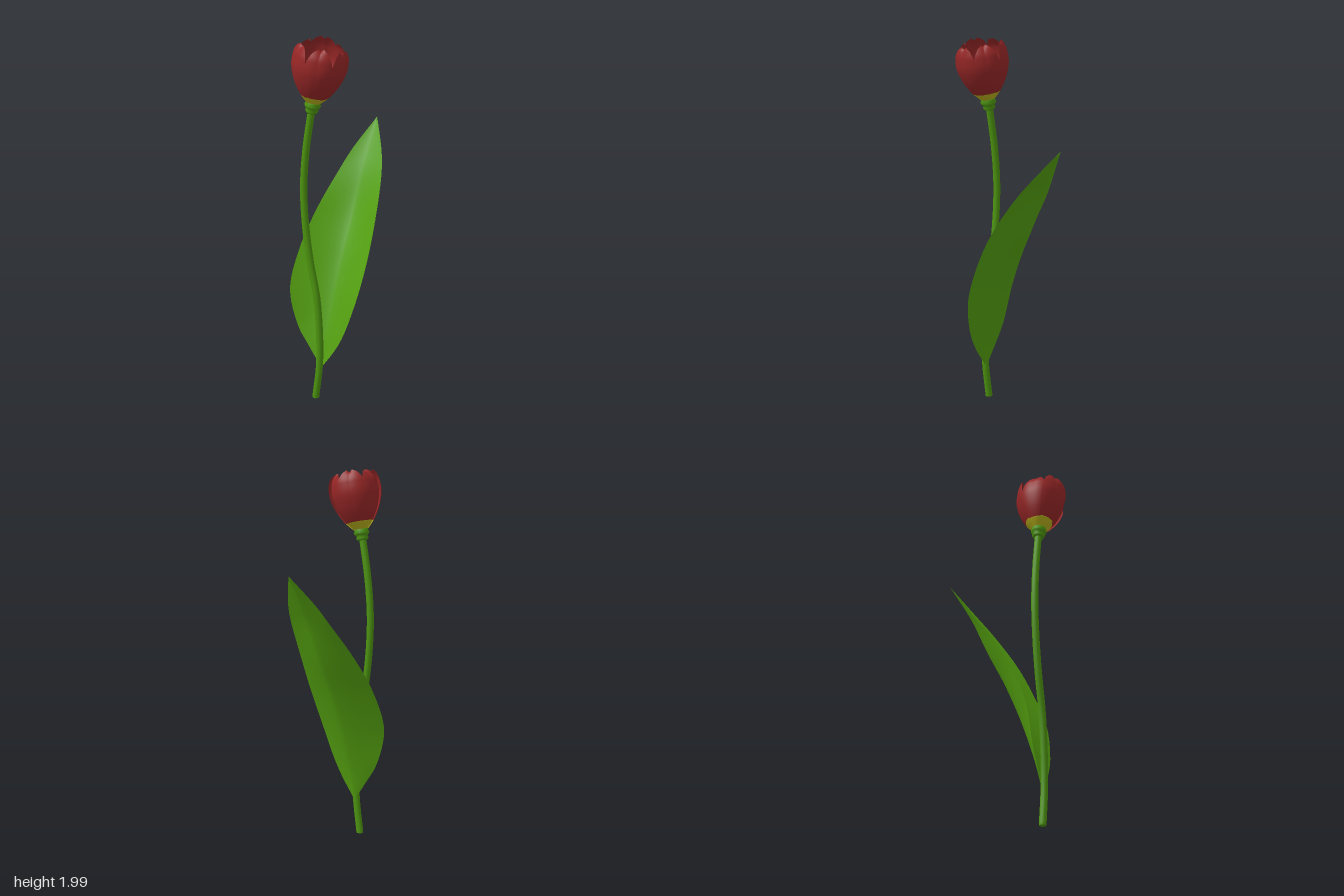
import * as THREE from 'three';
import { ParametricGeometry } from 'three/addons/geometries/ParametricGeometry.js';

const mat = (color) => new THREE.MeshStandardMaterial({ color, side: THREE.DoubleSide });
const green = mat(0x4c930f), leafGreen = mat(0x54a010), limeGreen = mat(0x86a814);
const red = mat(0x962626), yellow = mat(0xb8b01c), gold = mat(0xc8961e), grey = mat(0x9aa4b6);

function part(parent, name, geometry, material) {
  const mesh = new THREE.Mesh(geometry, material);
  mesh.name = name;
  parent.add(mesh);
  return mesh;
}

const spline = (pts) => new THREE.CatmullRomCurve3(pts.map((p) => new THREE.Vector3(...p)));

// Stem: a gentle S in the plane z = 0.215
function addStem(group) {
  const z = 0.215;
  const path = spline([
    [-0.03, 0.005, z], [-0.005, 0.2, z], [-0.003, 0.38, z], [-0.02, 0.6, z], [-0.06, 0.8, z],
    [-0.087, 1.0, z], [-0.096, 1.2, z], [-0.08, 1.4, z], [-0.038, 1.65, z],
  ]);
  part(group, 'stem', new THREE.TubeGeometry(path, 60, 0.019, 14), green);
  const cap = part(group, 'stemEnd', new THREE.CylinderGeometry(0.019, 0.019, 0.01, 14), green);
  cap.position.set(-0.03, 0.005, z);
}

// Leaf: a cupped blade swept between a keel and two edges
function addLeaf(group) {
  const rows = [ // y, left edge x z, keel z, right edge x z
    [0.2, -0.012, 0.205, 0.2, 0.012, 0.205],
    [0.3, -0.08, 0.21, 0.178, 0.08, 0.2],
    [0.4, -0.142, 0.215, 0.15, 0.13, 0.19],
    [0.6, -0.2, 0.205, 0.08, 0.185, 0.15],
    [0.8, -0.195, 0.125, -0.005, 0.201, 0.07],
    [1.0, -0.165, 0.0, -0.105, 0.188, -0.03],
    [1.2, -0.112, -0.15, -0.195, 0.143, -0.16],
    [1.3, -0.077, -0.22, -0.25, 0.1, -0.232],
    [1.46, 0, -0.345, -0.345, 0, -0.345],
  ];
  const edgeA = spline(rows.map((r) => [r[1], r[0], r[2]]));
  const keel = spline(rows.map((r) => [0, r[0], r[3]]));
  const edgeB = spline(rows.map((r) => [r[4], r[0], r[5]]));
  const a = new THREE.Vector3(), k = new THREE.Vector3();
  const blade = new ParametricGeometry((u, v, out) => {
    const s = u * 2 - 1, t = Math.abs(s);
    (s < 0 ? edgeA : edgeB).getPoint(v, a);
    keel.getPoint(v, k);
    out.lerpVectors(k, a, t);
    out.z = k.z + (a.z - k.z) * Math.pow(t, 1.4);
  }, 24, 48);
  part(group, 'leaf', blade, leafGreen);
}

// Petal strip from v0 to v1 along its length, wrapped around the flower axis
const petalProfile = spline([ // radius, height, half angle
  [0.032, 0.025, 0.56], [0.075, 0.075, 0.6], [0.112, 0.14, 0.62], [0.134, 0.21, 0.62],
  [0.134, 0.275, 0.54], [0.122, 0.318, 0.4], [0.106, 0.342, 0.14],
]);
function petalGeometry(v0, v1, size, curl) {
  const p = new THREE.Vector3();
  return new ParametricGeometry((u, v, out) => {
    const s = u * 2 - 1, t = v0 + (v1 - v0) * v;
    petalProfile.getPoint(t, p);
    const angle = s * p.z;
    // shallow centre crease, tip leaning inward
    const r = p.x * size - curl * t ** 4 - 0.006 * t * (1 - Math.abs(s)) ** 2 + 0.004 * t;
    const y = p.y - 0.012 * t ** 6 * (1 - Math.abs(s));
    out.set(r * Math.cos(angle), y, r * Math.sin(angle));
  }, 14, 18);
}

function addFlower(group) {
  const flower = new THREE.Group();
  flower.name = 'flower';
  flower.position.set(-0.038, 1.64, 0.215);
  flower.rotation.z = -0.2;
  group.add(flower);

  // Ringed green base under the petals
  const base = [[0.0, -0.03], [0.028, -0.026], [0.034, -0.014], [0.028, -0.004], [0.038, 0.004],
    [0.043, 0.016], [0.036, 0.026], [0.04, 0.032], [0.03, 0.042], [0, 0.044]];
  part(flower, 'receptacle', new THREE.LatheGeometry(base.map((p) => new THREE.Vector2(...p)), 20), green);

  // Three outer and three inner petals, yellow at the foot
  for (let i = 0; i < 6; i++) {
    const inner = i % 2 === 1;
    const size = inner ? 0.93 : 1.02, curl = inner ? 0.02 : 0;
    const petal = new THREE.Group();
    petal.name = inner ? 'innerPetal' : 'outerPetal';
    petal.rotation.y = -i * Math.PI / 3;
    part(petal, 'petalFoot', petalGeometry(0, 0.16, size, curl), yellow);
    part(petal, 'petalBlade', petalGeometry(0.16, 1, size, curl), red);
    flower.add(petal);
  }

  // Lime cup lining the bottom of the bloom
  const cup = [[0, 0.046], [0.03, 0.048], [0.052, 0.066]].map((p) => new THREE.Vector2(...p));
  part(flower, 'innerCup', new THREE.LatheGeometry(cup, 12), limeGreen);

  // Pistil with a three-lobed head
  const pistil = part(flower, 'pistil', new THREE.CylinderGeometry(0.009, 0.013, 0.09, 12), gold);
  pistil.position.y = 0.09;
  for (let i = 0; i < 3; i++) {
    const a = i * Math.PI * 2 / 3;
    const lobe = part(flower, 'stigma', new THREE.SphereGeometry(0.01, 10, 8), gold);
    lobe.scale.set(1.5, 0.7, 0.8);
    lobe.position.set(0.011 * Math.cos(a), 0.137, 0.011 * Math.sin(a));
    lobe.rotation.y = -a;
  }

  // Six stamens
  for (let i = 0; i < 6; i++) {
    const stamen = new THREE.Group();
    stamen.name = 'stamen';
    stamen.rotation.y = -(i + 0.5) * Math.PI / 3;
    const path = spline([[0.014, 0.045, 0], [0.024, 0.08, 0], [0.034, 0.115, 0]]);
    part(stamen, 'filament', new THREE.TubeGeometry(path, 6, 0.0025, 6), yellow);
    const anther = part(stamen, 'anther', new THREE.SphereGeometry(0.005, 8, 8), grey);
    anther.scale.y = 2.6;
    anther.position.set(0.037, 0.122, 0);
    anther.rotation.z = -0.7;
    flower.add(stamen);
  }
}

export function createModel() {
  const group = new THREE.Group();
  group.name = 'tulip';
  addStem(group);
  addLeaf(group);
  addFlower(group);
  return group;
}
